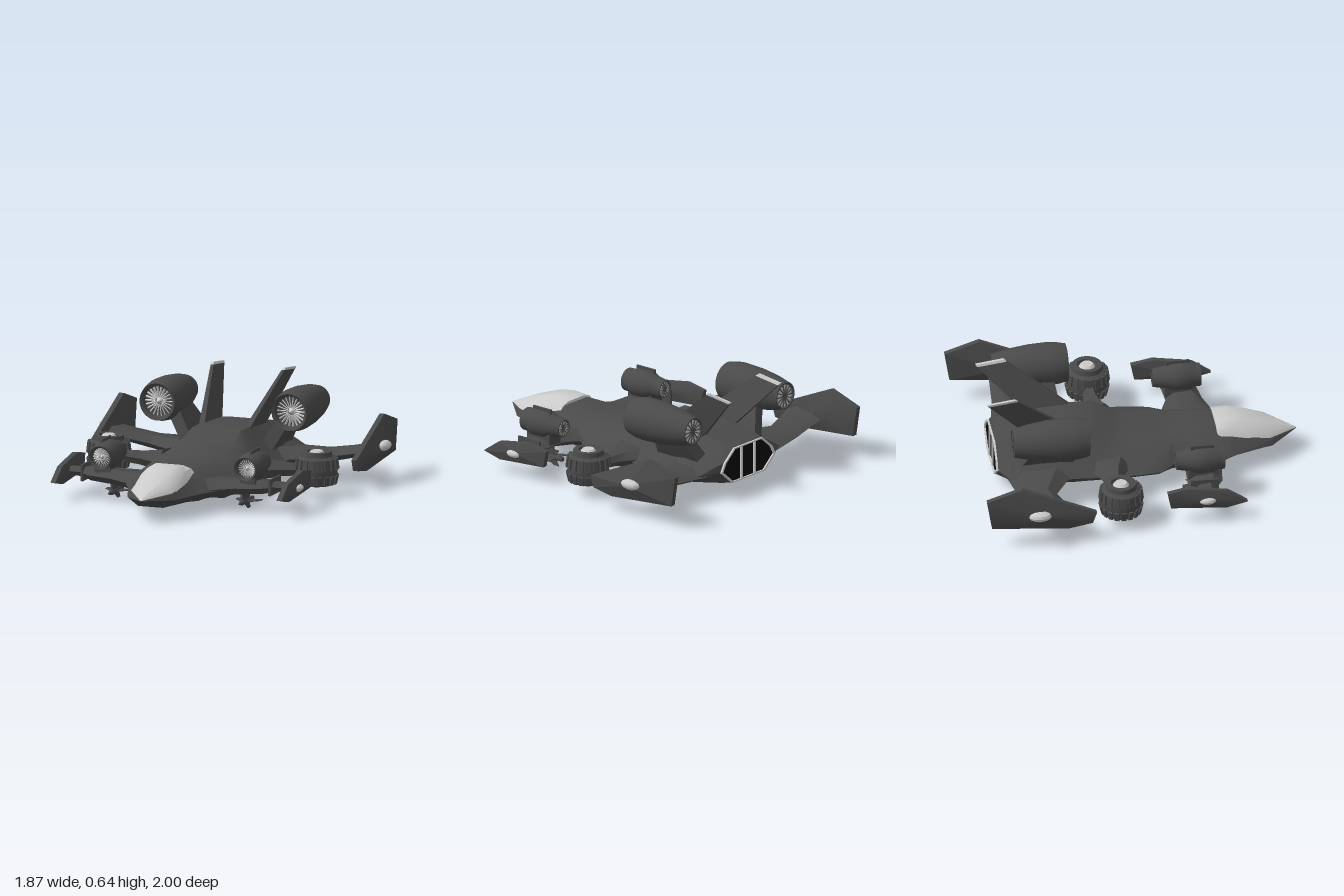
import * as THREE from 'three';
import { mergeGeometries, toCreasedNormals } from 'three/addons/utils/BufferGeometryUtils.js';

const DARK = new THREE.MeshStandardMaterial({ color: 0x4a4a4a });
const LIGHT = new THREE.MeshStandardMaterial({ color: 0xcccccc });
const BLACK = new THREE.MeshStandardMaterial({ color: 0x0a0a0a });

// Reverse the winding of a non-indexed position buffer
function flip(geo) {
  const p = geo.attributes.position;
  for (let i = 0; i < p.count; i += 3) {
    const b = [p.getX(i + 1), p.getY(i + 1), p.getZ(i + 1)];
    p.setXYZ(i + 1, p.getX(i + 2), p.getY(i + 2), p.getZ(i + 2));
    p.setXYZ(i + 2, ...b);
  }
  return geo;
}

// Closed skin through rings of [x, y, z] corners, capped at both ends, faces turned outward
function loft(rings, crease = 0.5) {
  const pos = [], n = rings[0].length;
  const tri = (a, b, c) => pos.push(...a, ...b, ...c);
  for (let r = 0; r + 1 < rings.length; r++) {
    for (let i = 0; i < n; i++) {
      const j = (i + 1) % n, A = rings[r], B = rings[r + 1];
      tri(A[i], A[j], B[j]);
      tri(A[i], B[j], B[i]);
    }
  }
  const first = rings[0], last = rings[rings.length - 1];
  for (let i = 1; i + 1 < n; i++) {
    tri(first[0], first[i + 1], first[i]);
    tri(last[0], last[i], last[i + 1]);
  }
  let volume = 0;
  const v = [0, 1, 2].map(() => new THREE.Vector3());
  for (let i = 0; i < pos.length; i += 9) {
    v.forEach((p, k) => p.fromArray(pos, i + 3 * k));
    volume += v[0].dot(v[1].cross(v[2]));
  }
  const geo = new THREE.BufferGeometry();
  geo.setAttribute('position', new THREE.Float32BufferAttribute(pos, 3));
  if (volume < 0) flip(geo);
  return toCreasedNormals(geo, crease);
}

// Full symmetric ring from the corners of its +x half, listed bottom to top
const symmetric = (z, half) => [
  ...half.map(([x, y]) => [x, y, z]),
  ...half.slice().reverse().map(([x, y]) => [-x, y, z]),
];

// Wing from stations [x, front z, rear z, centre y, thickness]
const wing = (stations) => loft(stations.map(([x, f, b, y, t]) => {
  const c = f - b;
  return [[x, y, f], [x, y + t / 2, f - c * 0.25], [x, y + t * 0.4, b + c * 0.25],
    [x, y, b], [x, y - t * 0.4, b + c * 0.25], [x, y - t / 2, f - c * 0.25]];
}), 0.7);

// Tip plate: a [z, y] outline, thickest near its middle
function plate(x, outline, thick) {
  const cz = outline.reduce((s, p) => s + p[0], 0) / outline.length;
  const cy = outline.reduce((s, p) => s + p[1], 0) / outline.length;
  const ring = (dx, k) => outline.map(([z, y]) => [x + dx, cy + (y - cy) * k, cz + (z - cz) * k]);
  return loft([ring(-thick, 0.2), ring(-0.016, 1), ring(0.016, 1), ring(thick, 0.2)], 0.2);
}

// Turned part whose axis runs along z
const turnedZ = (profile, x, y, sides = 28) => toCreasedNormals(
  new THREE.LatheGeometry(profile.map(([r, z]) => new THREE.Vector2(r, z)), sides)
    .rotateX(Math.PI / 2).rotateZ(0.1).translate(x, y, 0), 0.5);

// Radial blades in the xy plane around the origin
function blades(count, r0, r1, width, depth, twist = 0) {
  return mergeGeometries(Array.from({ length: count }, (_, i) =>
    new THREE.BoxGeometry(r1 - r0, width, depth).rotateX(twist)
      .translate((r0 + r1) / 2, 0, 0).rotateZ(i / count * Math.PI * 2)));
}

export function createModel() {
  const model = new THREE.Group();
  const add = (name, geo, material = DARK) => {
    const mesh = new THREE.Mesh(geo, material);
    mesh.name = name;
    model.add(mesh);
  };
  const pair = (name, geo, material = DARK) => {
    add(name + 'Left', geo, material);
    const other = geo.index ? geo.toNonIndexed() : geo.clone();
    other.deleteAttribute('normal');
    other.scale(-1, 1, 1);
    add(name + 'Right', toCreasedNormals(flip(other), 0.5), material);
  };

  // Hull: z, then bottom, chine, shoulder and spine corners
  const hull = [
    [1, [0.002, 0.138], [0.004, 0.139], [0.003, 0.14], [0.001, 0.141]],
    [0.84, [0.08, 0.075], [0.15, 0.125], [0.135, 0.16], [0.05, 0.165]],
    [0.6, [0.14, 0.07], [0.24, 0.13], [0.15, 0.205], [0.08, 0.21]],
    [0.5, [0.17, 0.06], [0.3, 0.13], [0.17, 0.22], [0.1, 0.255]],
    [0.35, [0.17, 0.05], [0.3, 0.13], [0.18, 0.22], [0.1, 0.25]],
    [0.22, [0.17, 0.03], [0.28, 0.13], [0.19, 0.22], [0.11, 0.245]],
    [0.14, [0.19, 0.01], [0.36, 0.13], [0.25, 0.21], [0.13, 0.255]],
    [0, [0.2, 0.01], [0.375, 0.13], [0.26, 0.22], [0.14, 0.27]],
    [-0.1, [0.2, 0.01], [0.37, 0.13], [0.26, 0.225], [0.15, 0.285]],
    [-0.22, [0.2, 0.01], [0.37, 0.13], [0.25, 0.24], [0.155, 0.35]],
    [-0.4, [0.2, 0.01], [0.37, 0.14], [0.25, 0.25], [0.155, 0.35]],
    [-0.6, [0.19, 0.04], [0.42, 0.16], [0.25, 0.25], [0.145, 0.34]],
    [-0.78, [0.17, 0.07], [0.37, 0.165], [0.24, 0.24], [0.14, 0.31]],
    [-0.84, [0.15, 0.08], [0.25, 0.165], [0.22, 0.22], [0.13, 0.295]],
  ];
  add('hull', loft(hull.map(([z, ...half]) => symmetric(z, half)), 0.6));

  // Canopy covering the upper nose
  add('canopy', loft([
    [1, [0.003, 0.14], [0.002, 0.142], [0.001, 0.143]],
    [0.82, [0.138, 0.158], [0.11, 0.195], [0.05, 0.222]],
    [0.68, [0.15, 0.185], [0.125, 0.235], [0.065, 0.27]],
    [0.58, [0.153, 0.205], [0.125, 0.255], [0.07, 0.288]],
    [0.5, [0.155, 0.22], [0.125, 0.255], [0.07, 0.272]],
  ].map(([z, ...half]) => symmetric(z, half)), 0.7), LIGHT);

  // Rear opening: black recess behind a pale frame with two posts
  const rim = symmetric(0, hull[hull.length - 1].slice(1));
  const outline = (k) => rim.map(([x, y]) => new THREE.Vector2(x * k, 0.19 + (y - 0.19) * k));
  add('rearOpening', new THREE.ShapeGeometry(new THREE.Shape(outline(0.97)))
    .rotateY(Math.PI).translate(0, 0, -0.842), BLACK);
  const frame = new THREE.Shape(outline(1));
  frame.holes.push(new THREE.Path(outline(0.93)));
  add('rearFrame', new THREE.ExtrudeGeometry(frame, { depth: 0.012, bevelEnabled: false })
    .translate(0, 0, -0.852), LIGHT);
  pair('rearPost', new THREE.BoxGeometry(0.016, 0.205, 0.01).translate(0.06, 0.188, -0.847), LIGHT);

  // Rear and front wings with their tip plates
  pair('rearWing', wing([
    [0.2, -0.3, -0.82, 0.15, 0.14], [0.36, -0.42, -0.79, 0.15, 0.11], [0.55, -0.53, -0.76, 0.16, 0.08],
    [0.7, -0.5, -0.75, 0.19, 0.07], [0.83, -0.47, -0.745, 0.22, 0.06]]));
  pair('frontWing', wing([
    [0.15, 0.62, 0.18, 0.14, 0.12], [0.28, 0.53, 0.22, 0.14, 0.1], [0.4, 0.49, 0.27, 0.15, 0.09],
    [0.55, 0.47, 0.26, 0.155, 0.08], [0.62, 0.42, 0.3, 0.16, 0.06], [0.72, 0.41, 0.32, 0.16, 0.05]]));
  pair('rearTipPlate', plate(0.84,
    [[-0.335, 0.2], [-0.79, 0.4], [-1, 0.33], [-0.97, 0.145], [-0.5, 0.105], [-0.36, 0.13]], 0.055));
  pair('frontTipPlate', plate(0.728,
    [[0.595, 0.12], [0.48, 0.2], [0.24, 0.24], [0.11, 0.215], [0.13, 0.115], [0.47, 0.09]], 0.036));
  const lamp = (x, y, z, s) => new THREE.SphereGeometry(1, 10, 6).scale(0.04 * s, 0.032 * s, 0.07 * s).translate(x, y, z);
  pair('rearTipLamp', lamp(0.895, 0.23, -0.685, 1), LIGHT);
  pair('frontTipLamp', lamp(0.755, 0.155, 0.35, 0.75), LIGHT);
  pair('frontWingFence', new THREE.BoxGeometry(0.014, 0.1, 0.17).translate(0.605, 0.16, 0.355));

  // Engines: shell, intake fan, hub, and ribbed exhaust
  const engine = (name, x, y, z0, z1, shell, r, rearR) => {
    pair(name + 'Shell', turnedZ([[0, z1 + 0.02], [rearR * 0.86, z1 + 0.02], [rearR * 0.9, z1], ...shell,
      [r * 0.85, z0 - 0.01], [r * 0.8, z0 - 0.05], [0, z0 - 0.05]], x, y));
    pair(name + 'Fan', blades(22, r * 0.2, r * 0.8, r * 0.045, 0.012, 0.5).translate(x, y, z0 - 0.04), LIGHT);
    pair(name + 'Hub', new THREE.ConeGeometry(r * 0.2, 0.04, 14).rotateX(Math.PI / 2).translate(x, y, z0 - 0.03), LIGHT);
    pair(name + 'Exhaust', new THREE.CylinderGeometry(rearR * 0.82, rearR * 0.82, 0.015, 24)
      .rotateX(Math.PI / 2).translate(x, y, z1 + 0.017), LIGHT);
    pair(name + 'ExhaustRibs', blades(14, 0.004, rearR * 0.84, r * 0.05, 0.012).translate(x, y, z1 + 0.009));
  };
  engine('rearEngine', 0.425, 0.462, -0.325, -0.78,
    [[0.084, -0.78], [0.108, -0.68], [0.125, -0.55], [0.13, -0.43], [0.125, -0.38], [0.113, -0.325]], 0.113, 0.084);
  engine('frontEngine', 0.468, 0.272, 0.49, 0.2,
    [[0.054, 0.2], [0.068, 0.28], [0.085, 0.32], [0.085, 0.42], [0.072, 0.45], [0.07, 0.49]], 0.07, 0.054);
  pair('frontEngineMount', new THREE.BoxGeometry(0.1, 0.07, 0.18).translate(0.468, 0.19, 0.36));
  pair('frontEngineRidge', new THREE.BoxGeometry(0.012, 0.03, 0.14).translate(0.48, 0.358, 0.36));

  // Struts joining the rear engines to the hull
  const strut = (x, y, f, b) => [[x - 0.03, y + 0.02, f], [x + 0.03, y - 0.03, f], [x + 0.03, y - 0.03, b], [x - 0.03, y + 0.02, b]];
  pair('rearEngineStrut', loft([strut(0.24, 0.2, -0.38, -0.72), strut(0.36, 0.41, -0.42, -0.63)], 0.2));

  // Canted tail fins with pale tips
  const fin = (x, y, f, b, h, dy = 0) => [[x - h, y, f], [x + h, y, f], [x + h, y - dy, b], [x - h, y - dy, b]];
  pair('tailFin', loft([fin(0.14, 0.32, -0.32, -0.62, 0.018), fin(0.228, 0.632, -0.72, -0.895, 0.009, 0.022)], 0.2));
  pair('tailFinTip', loft([fin(0.228, 0.632, -0.72, -0.895, 0.01, 0.022), fin(0.232, 0.645, -0.735, -0.905, 0.009, 0.022)], 0.2), LIGHT);

  // Side lift pods: barrel, tread blocks, cap and lower fan
  const px = 0.67, pz = -0.162;
  const barrel = [[0, 0.1], [0.085, 0.1], [0.095, 0.075], [0.112, 0.085], [0.123, 0.13], [0.125, 0.19],
    [0.118, 0.235], [0.095, 0.25], [0.09, 0.278], [0.06, 0.278], [0.055, 0.265], [0, 0.265]];
  pair('podBarrel', toCreasedNormals(new THREE.LatheGeometry(
    barrel.map(([r, y]) => new THREE.Vector2(r, y)), 32).translate(px, 0, pz), 0.5));
  const treads = [];
  for (let i = 0; i < 18; i++) {
    for (const [y, h, r, tilt] of [[0.112, 0.055, 0.117, 0.22], [0.205, 0.065, 0.121, -0.12]]) {
      treads.push(new THREE.BoxGeometry(0.022, h, 0.028).rotateZ(-tilt)
        .translate(r, y, 0).rotateY(i / 18 * Math.PI * 2).translate(px, 0, pz));
    }
  }
  pair('podTread', mergeGeometries(treads));
  pair('podCap', new THREE.CylinderGeometry(0.035, 0.05, 0.02, 20).translate(px, 0.272, pz), LIGHT);
  pair('podFan', blades(20, 0.015, 0.084, 0.005, 0.014, 0.4).rotateX(Math.PI / 2).translate(px, 0.092, pz));
  pair('podArm', wing([[0.3, -0.04, -0.31, 0.15, 0.15], [0.375, -0.09, -0.26, 0.15, 0.11],
    [0.46, -0.12, -0.22, 0.155, 0.085], [0.6, -0.135, -0.195, 0.16, 0.07]]));

  // Slim stores with four swept fins under the front wings
  const mx = 0.42, my = 0.052;
  pair('underwingStore', turnedZ([[0, 0.25], [0.014, 0.25], [0.017, 0.3], [0.017, 0.42], [0, 0.48]], mx, my, 10));
  const sweep = (angle, len) => loft([
    [[0, -0.003, 0.4], [0, 0.003, 0.4], [0, 0.003, 0.31], [0, -0.003, 0.31]],
    [[len, -0.002, 0.32], [len, 0.002, 0.32], [len, 0.002, 0.28], [len, -0.002, 0.28]],
  ], 0.2).rotateZ(angle).translate(mx, my, 0);
  pair('underwingFins', mergeGeometries([0, 1, 2, 3].map((i) => sweep(i * Math.PI / 2, i % 2 ? 0.05 : 0.08))));
  pair('underwingPylon', new THREE.BoxGeometry(0.015, 0.08, 0.1).translate(mx, 0.1, 0.37));

  return model;
}
